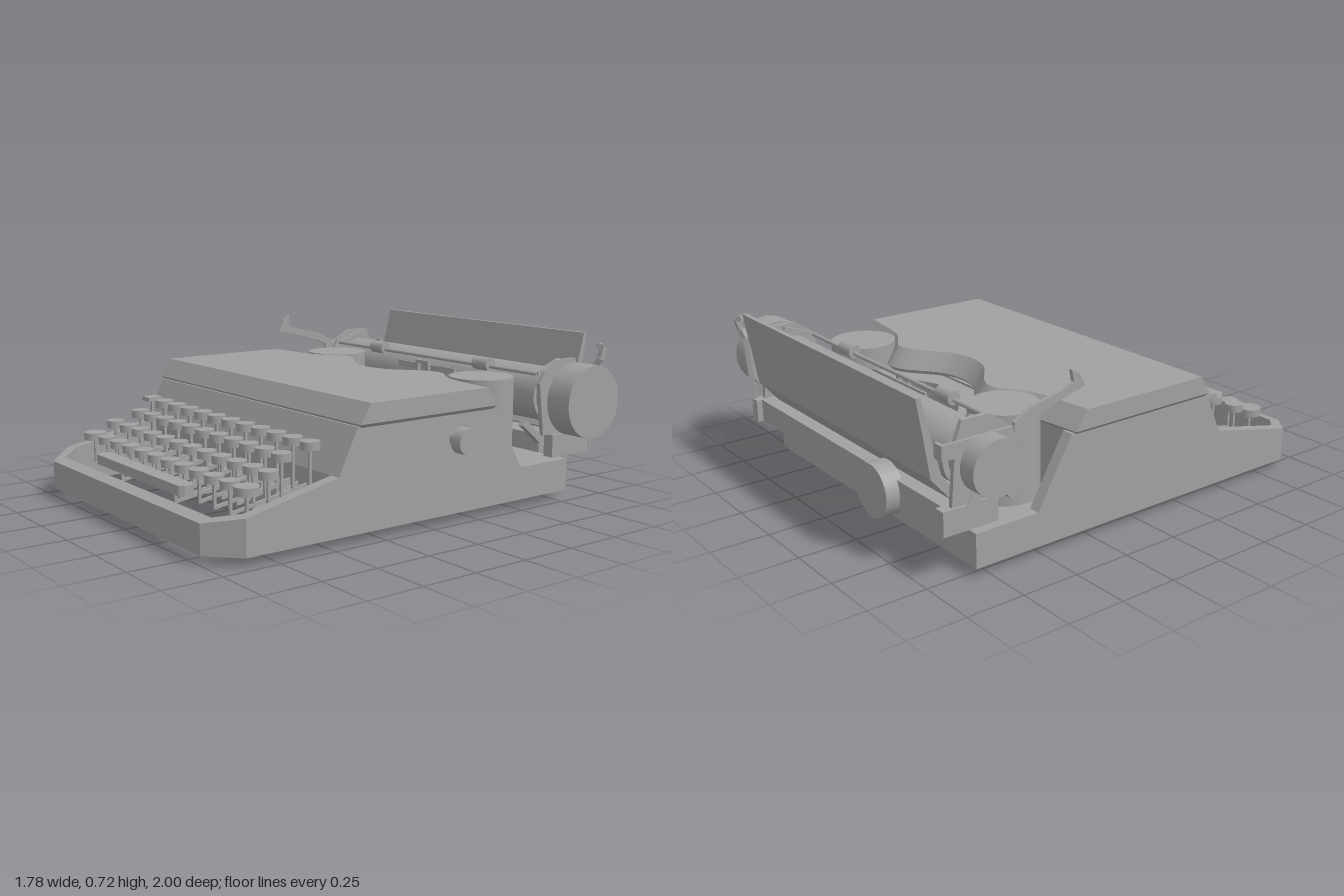
import * as THREE from 'three';
import { toCreasedNormals } from 'three/addons/utils/BufferGeometryUtils.js';

const CX = -0.038; // centre line of the body
const mat = new THREE.MeshStandardMaterial({ color: 0xa0a0a0, side: THREE.DoubleSide });

export function createModel() {
  const root = new THREE.Group();
  const add = (name, geo, parent = root) => {
    const m = new THREE.Mesh(geo, mat);
    m.name = name;
    parent.add(m);
    return m;
  };
  const group = (name) => {
    const g = new THREE.Group();
    g.name = name;
    root.add(g);
    return g;
  };
  // box given by its extents
  const box = (name, x0, x1, y0, y1, z0, z1, parent) =>
    add(name, new THREE.BoxGeometry(x1 - x0, y1 - y0, z1 - z0)
      .translate((x0 + x1) / 2, (y0 + y1) / 2, (z0 + z1) / 2), parent);
  // side profile of [z, y] points, extruded from x0 to x1
  const side = (name, pts, x0, x1, parent) => {
    const s = new THREE.Shape(pts.map(([z, y]) => new THREE.Vector2(-z, y)));
    return add(name, new THREE.ExtrudeGeometry(s, { depth: x1 - x0, bevelEnabled: false })
      .rotateY(Math.PI / 2).translate(x0, 0, 0), parent);
  };
  // plan outline of [x, z] points, extruded from y0 to y1
  const planGeo = (pts, y0, y1) => {
    const s = new THREE.Shape(pts.map(([x, z]) => new THREE.Vector2(x, -z)));
    return new THREE.ExtrudeGeometry(s, { depth: y1 - y0, bevelEnabled: false })
      .rotateX(-Math.PI / 2).translate(0, y0, 0);
  };
  // cylinder along x, y or z
  const cyl = (name, axis, r, len, x, y, z, parent, seg = 32) => {
    const g = new THREE.CylinderGeometry(r, r, len, seg);
    if (axis === 'x') g.rotateZ(Math.PI / 2);
    if (axis === 'z') g.rotateX(Math.PI / 2);
    return add(name, g.translate(x, y, z), parent);
  };
  // square bar between two points
  const bar = (name, a, b, w, parent) => {
    const p = new THREE.Vector3(...a), q = new THREE.Vector3(...b);
    const m = add(name, new THREE.BoxGeometry(w, w, p.distanceTo(q)), parent);
    m.position.copy(p).add(q).multiplyScalar(0.5);
    m.lookAt(q);
    return m;
  };

  // --- Keyboard frame: U-shaped rim whose top slopes up to the back
  const rim = planGeo([[-0.795, 0.46], [-0.795, 0.88], [-0.67, 1], [0.595, 1], [0.717, 0.88], [0.717, 0.46],
    [0.667, 0.46], [0.667, 0.86], [0.587, 0.945], [-0.665, 0.945], [-0.745, 0.86], [-0.745, 0.46]], 0.037, 0.16);
  const rp = rim.attributes.position;
  for (let i = 0; i < rp.count; i++) {
    if (rp.getY(i) > 0.1) rp.setY(i, 0.16 + 0.213 * (1 - rp.getZ(i)));
  }
  rim.computeVertexNormals();
  add('keyboardFrame', rim);

  // --- Body: core and two side plates
  side('bodyCore', [[0.44, 0.037], [0.44, 0.275], [0.46, 0.275], [0.37, 0.46], [-0.34, 0.46],
    [-0.34, 0.18], [-0.81, 0.18], [-0.81, 0.037]], -0.745, 0.667);
  for (const [n, x] of [['rightSidePlate', -0.795], ['leftSidePlate', 0.667]]) {
    side(n, [[0.46, 0.037], [0.46, 0.275], [0.37, 0.46], [-0.36, 0.46], [-0.52, 0.18],
      [-0.81, 0.18], [-0.81, 0.037]], x, x + 0.05);
  }
  for (const x of [-0.618, 0.543]) {
    for (const z of [0.31, -0.645]) box('foot', x - 0.061, x + 0.061, 0, 0.04, z - 0.06, z + 0.06);
  }

  // --- Hood: lofted across x, with a wavy rear edge and an undercut lip
  const half = [[0.1, -0.293], [0.17, -0.335], [0.24, -0.39], [0.3, -0.42], [0.36, -0.42],
    [0.43, -0.375], [0.52, -0.33], [0.65, -0.31], [0.773, -0.295]];
  const edge = new THREE.SplineCurve([...half.map(([u, z]) => [-u, z]).reverse(), [0, -0.275], ...half]
    .map(([u, z]) => new THREE.Vector2(u, z))).getPoints(72);
  const rings = edge.map(({ x: u, y: z }) => [[0.355, 0.455, 0.98], [0.37, 0.47, 1], [0.32, 0.55, 1],
    [z, 0.55, 1], [z - 0.055, 0.47, 1], [z - 0.045, 0.455, 0.98]].map(([pz, py, k]) => [u * k + CX, py, pz]));
  const pos = [];
  const tri = (...v) => v.forEach((p) => pos.push(...p));
  for (let i = 0; i < rings.length - 1; i++) {
    for (let j = 0; j < 6; j++) {
      const k = (j + 1) % 6, a = rings[i], b = rings[i + 1];
      tri(a[j], b[j], b[k]);
      tri(a[j], b[k], a[k]);
    }
  }
  const r0 = rings[0], r1 = rings[rings.length - 1];
  for (const [a, b, c] of [[1, 2, 3], [1, 3, 4], [0, 1, 4], [0, 4, 5]]) {
    tri(r0[a], r0[b], r0[c]);
    tri(r1[a], r1[c], r1[b]);
  }
  const hood = new THREE.BufferGeometry();
  hood.setAttribute('position', new THREE.Float32BufferAttribute(pos, 3));
  add('hood', toCreasedNormals(hood, 0.5));

  // --- Type basket, ribbon spools and type guide
  const arc = new THREE.SplineCurve([[-0.28, -0.55], [-0.16, -0.465], [0, -0.415], [0.16, -0.465], [0.28, -0.55]]
    .map(([u, z]) => new THREE.Vector2(u, z))).getPoints(24).map((p) => [p.x + CX, p.y]);
  add('typeBasket', planGeo([[CX - 0.365, -0.33], [CX - 0.365, -0.55], ...arc,
    [CX + 0.365, -0.55], [CX + 0.365, -0.33]], 0.18, 0.45));
  for (const s of [-1, 1]) cyl('ribbonSpool', 'y', 0.142, 0.37, CX + s * 0.52, 0.365, -0.502, root, 48);
  const guide = group('typeGuide');
  for (const s of [-1, 1]) box('guidePost', CX + s * 0.035 - 0.01, CX + s * 0.035 + 0.01, 0.4, 0.55, -0.63, -0.615, guide);
  for (const y of [0.4, 0.535]) box('guideBar', CX - 0.045, CX + 0.045, y, y + 0.015, -0.63, -0.615, guide);
  box('guideBase', CX - 0.06, CX + 0.06, 0.18, 0.4, -0.63, -0.61, guide);
  box('lineScale', CX - 0.2, CX + 0.2, 0.5, 0.53, -0.65, -0.64, guide);

  // --- Keys: cap, stem and lever
  const keys = group('keys');
  const lever = (x, y, z) => {
    box('keyStem', x - 0.006, x + 0.006, 0.13, y, z - 0.006, z + 0.006, keys);
    bar('keyLever', [x, 0.136, z], [x, 0.2, 0.43], 0.013, keys);
  };
  const key = (x, y, z, r = 0.04) => {
    cyl('keyCap', 'y', r, 0.033, x, y - 0.0165, z, keys, 20);
    lever(x, y - 0.03, z);
  };
  const P = 0.1133;
  for (let i = 0; i < 11; i++) {
    key(-0.543 + P * i, 0.403, 0.503);
    key(-0.6 + P * i, 0.36, 0.597);
    if (i < 10) {
      key(-0.543 + P * i, 0.312, 0.69);
      key(-0.543 + P * i, 0.27, 0.795);
    }
  }
  for (const x of [-0.667, 0.582]) key(x, 0.312, 0.69);
  for (const x of [-0.667, 0.593]) key(x, 0.27, 0.795, 0.05);
  box('squareKey', -0.702, -0.632, 0.385, 0.403, 0.465, 0.535, keys);
  bar('squareKeyArm', [-0.667, 0.385, 0.48], [-0.667, 0.32, 0.42], 0.015, keys);
  lever(-0.667, 0.39, 0.5);
  add('spaceBar', planGeo([[-0.4, 0.875], [-0.385, 0.857], [0.315, 0.857], [0.33, 0.875],
    [0.33, 0.907], [0.315, 0.925], [-0.385, 0.925], [-0.4, 0.907]], 0.19, 0.232), keys);
  for (const x of [-0.26, 0.19]) lever(x, 0.2, 0.87);

  // --- Carriage: platen, knobs, rails and end plates
  const car = group('carriage');
  cyl('platen', 'x', 0.12, 1.37, -0.035, 0.46, -0.778, car, 48);
  cyl('platenAxle', 'x', 0.04, 1.62, -0.02, 0.46, -0.775, car);
  cyl('rightKnob', 'x', 0.112, 0.08, -0.85, 0.46, -0.775, car, 40);
  cyl('leftKnob', 'x', 0.158, 0.12, 0.827, 0.46, -0.775, car, 40);
  box('carriageRail', -0.77, 0.7, 0.2, 0.3, -0.92, -0.83, car);
  box('carriageBed', -0.72, 0.65, 0.21, 0.29, -0.83, -0.7, car);
  for (const x of [-0.775, 0.69]) {
    side('endPlate', [[-0.66, 0.3], [-0.63, 0.53], [-0.66, 0.58], [-0.73, 0.625], [-0.85, 0.625],
      [-0.88, 0.55], [-0.9, 0.3]], x, x + 0.02, car);
    box('endBlock', x - 0.01, x + 0.04, 0.2, 0.3, -0.945, -0.7, car);
    bar('endStrut', [x + 0.01, 0.23, -0.73], [x + 0.01, 0.31, -0.83], 0.05, car);
    bar('supportArm', [x + 0.01, 0.37, -0.54], [x + 0.01, 0.28, -0.65], 0.03, car);
  }
  for (const x of [-0.735, 0.66]) cyl('platenCollar', 'x', 0.1, 0.025, x, 0.46, -0.775, car);

  // --- Paper rest: tilted plate and the tray under the platen
  side('paperRest', [[-0.9, 0.41], [-0.93, 0.52], [-0.98, 0.72], [-1, 0.72], [-0.975, 0.58], [-0.945, 0.4],
    [-0.915, 0.39]], -0.712, 0.64, car);
  side('paperTray', [[-0.82, 0.3], [-0.9, 0.41], [-0.945, 0.4], [-0.85, 0.29]], -0.712, 0.64, car);

  // --- Paper bail with rollers
  cyl('paperBail', 'x', 0.009, 1.4, CX, 0.565, -0.66, car, 12);
  for (const x of [-0.407, 0.332]) cyl('bailRoller', 'x', 0.029, 0.092, x, 0.573, -0.66, car, 20);
  for (const x of [-0.735, 0.66]) bar('bailArm', [x, 0.565, -0.66], [x, 0.615, -0.8], 0.018, car);

  // --- Return lever and its bracket
  side('returnLever', [[-0.305, 0.645], [-0.335, 0.7], [-0.372, 0.72], [-0.362, 0.672], [-0.41, 0.652],
    [-0.56, 0.618], [-0.64, 0.575], [-0.64, 0.54], [-0.55, 0.578], [-0.4, 0.622]], -0.805, -0.788, car);
  box('leverBracket', -0.798, -0.785, 0.5, 0.56, -0.95, -0.6, car);
  box('bracketReturn', -0.798, -0.75, 0.5, 0.56, -0.955, -0.94, car);

  // --- Release lever at the other end, ending in a hook
  const hook = [[0.72, 0.22, -0.93], [0.735, 0.58, -0.95], [0.757, 0.62, -0.96], [0.757, 0.668, -0.975],
    [0.733, 0.675, -0.96]];
  for (let i = 0; i < 4; i++) bar('releaseLever', hook[i], hook[i + 1], i ? 0.024 : 0.02, car);

  // --- Bell behind the rail
  cyl('bell', 'z', 0.11, 0.08, -0.35, 0.24, -0.94, car, 40);

  // --- Side knob
  cyl('sideKnobShaft', 'x', 0.025, 0.06, 0.737, 0.355, -0.127);
  cyl('sideKnob', 'x', 0.055, 0.055, 0.785, 0.355, -0.127);
  return root;
}
